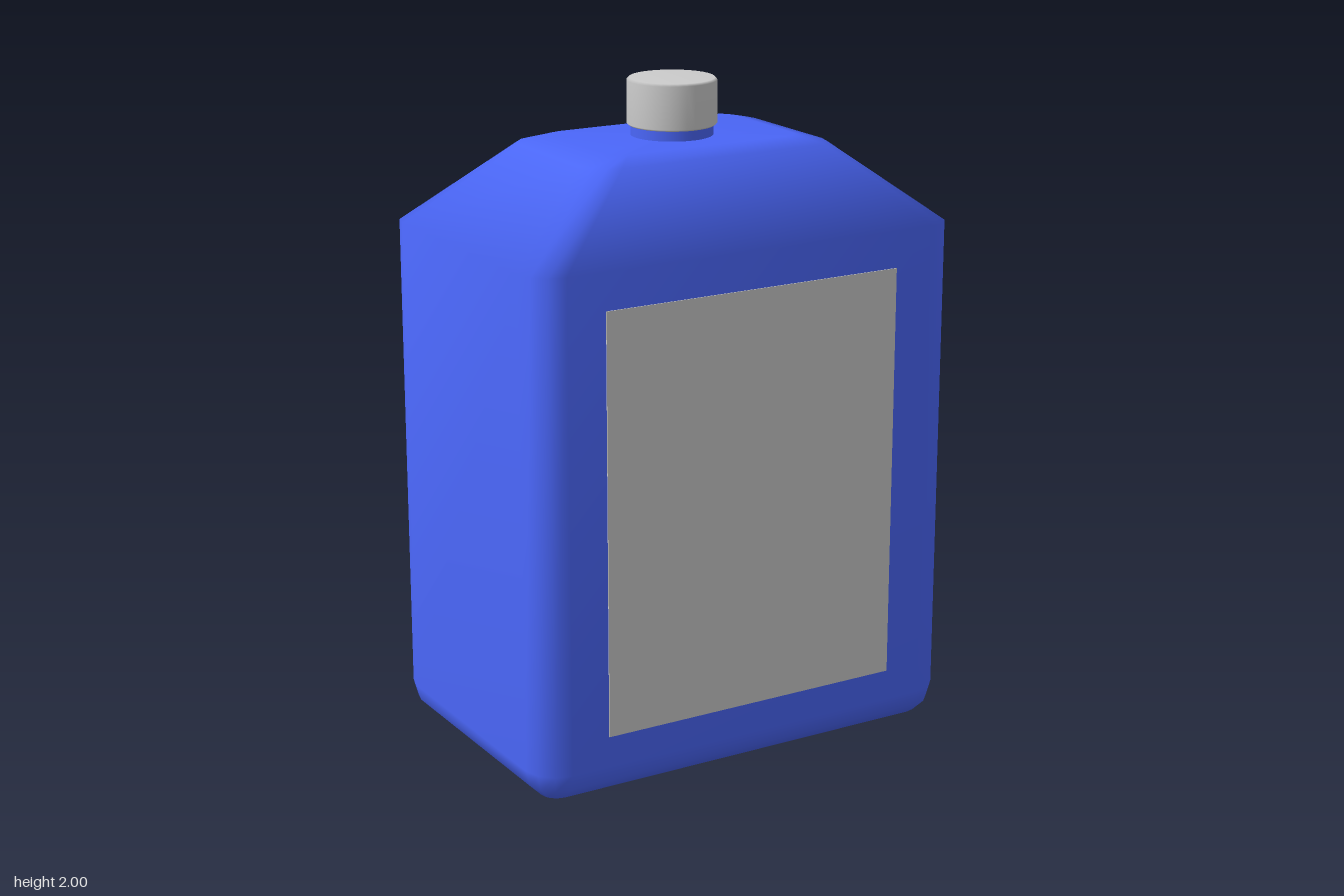
import * as THREE from 'three';

const blue = new THREE.MeshStandardMaterial({ color: 0x4a66f8 });
const grey = new THREE.MeshStandardMaterial({ color: 0xcccccc });

// Rounded-rectangle cross-section as [x, z] pairs, going from +x towards +z
function roundedRing(hx, hz, r, steps = 3) {
  const ring = [];
  const corners = [[1, 1], [-1, 1], [-1, -1], [1, -1]];
  corners.forEach(([sx, sz], q) => {
    for (let i = 0; i <= steps; i++) {
      const a = (q + i / steps) * Math.PI / 2;
      ring.push([sx * (hx - r) + r * Math.cos(a), sz * (hz - r) + r * Math.sin(a)]);
    }
  });
  return ring;
}

// Closed smooth loft through levels of [y, half width, half depth, corner radius]
function loft(levels) {
  const pos = [], index = [];
  const rings = levels.map(([, hx, hz, r]) => roundedRing(hx, hz, r));
  const n = rings[0].length;
  rings.forEach((ring, k) => ring.forEach(([x, z]) => pos.push(x, levels[k][0], z)));
  const last = (rings.length - 1) * n;
  const bottom = rings.length * n, top = bottom + 1;
  pos.push(0, levels[0][0], 0, 0, levels[levels.length - 1][0], 0);
  for (let j = 0; j < n; j++) {
    const m = (j + 1) % n;
    for (let k = 0; k < last; k += n) {
      index.push(k + j, k + n + j, k + m, k + m, k + n + j, k + n + m);
    }
    index.push(bottom, j, m, top, last + m, last + j);
  }
  const geo = new THREE.BufferGeometry();
  geo.setAttribute('position', new THREE.Float32BufferAttribute(pos, 3));
  geo.setIndex(index);
  geo.computeVertexNormals();
  return geo;
}

function add(group, name, geometry, material) {
  const mesh = new THREE.Mesh(geometry, material);
  mesh.name = name;
  group.add(mesh);
  return mesh;
}

export function createModel() {
  const model = new THREE.Group();
  model.name = 'jerryBottle';

  // Body: rounded base, straight walls, sloped shoulders, flat top
  add(model, 'body', loft([
    [0.005, 0.605, 0.365, 0.01],
    [0.018, 0.655, 0.415, 0.05],
    [0.054, 0.691, 0.451, 0.086],
    [0.105, 0.705, 0.465, 0.1],
    [1.575, 0.705, 0.465, 0.1],
    [1.81, 0.405, 0.27, 0.085],
    [1.832, 0.315, 0.205, 0.05],
  ]), blue);

  // Neck
  add(model, 'neck', new THREE.CylinderGeometry(0.122, 0.122, 0.06, 32), blue).position.y = 1.85;

  // Screw cap with slightly softened rims
  const capProfile = [[0, 1.862], [0.128, 1.862], [0.133, 1.867], [0.133, 1.993], [0.126, 2], [0, 2]];
  add(model, 'cap', new THREE.LatheGeometry(
    capProfile.map(([x, y]) => new THREE.Vector2(x, y)), 32), grey);

  // Front and back label panels
  const label = (name, w, y0, y1, side) => {
    const panel = add(model, name, new THREE.BoxGeometry(w, y1 - y0, 0.006), grey);
    panel.position.set(0, (y0 + y1) / 2, side * 0.465);
  };
  label('frontLabel', 0.97, 0.2, 1.465, 1);
  label('backLabel', 0.99, 0.18, 0.735, -1);

  return model;
}
